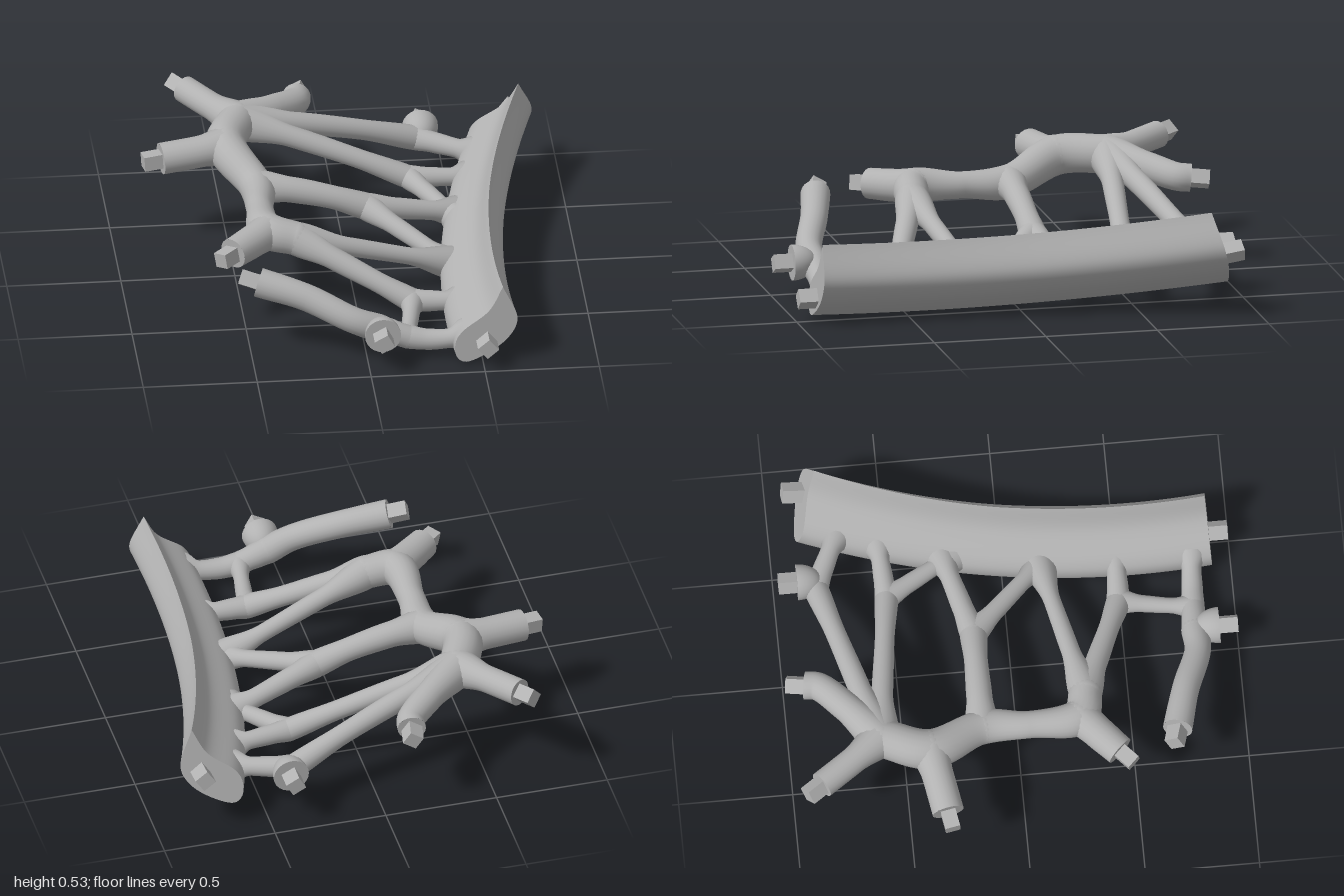
import * as THREE from 'three';

const V = (a) => new THREE.Vector3(a[0], a[1], a[2]);
const FORWARD = new THREE.Vector3(0, 0, 1);

// Sideways and upward drift of the beam along z
const driftX = (z) => 0.11 * (z - 0.6) ** 2 - 0.024;
const driftY = (z) => 0.06 * (z - 0.5) ** 2;
// Point inside the lower lip of the beam where a branch takes root
const root = (z) => [0.45 + driftX(z), 0.095 + driftY(z), z, 0.075];

export function createModel() {
  const model = new THREE.Group();
  const grey = new THREE.MeshStandardMaterial({ color: 0xb2b2b2 });
  grey.name = 'plain grey';

  const add = (name, geometry) => {
    const mesh = new THREE.Mesh(geometry, grey);
    mesh.name = name;
    model.add(mesh);
    return mesh;
  };

  // Tube through points [x, y, z, radius], the radius easing between them
  function branch(name, pts) {
    const curve = new THREE.CatmullRomCurve3(pts.map(V), false, 'centripetal');
    const seg = 12 * (pts.length - 1), sides = 20;
    const geo = new THREE.TubeGeometry(curve, seg, 1, sides);
    const pos = geo.attributes.position, p = new THREE.Vector3();
    for (let i = 0; i <= seg; i++) {
      const c = curve.getPointAt(i / seg);
      const t = curve.getUtoTmapping(i / seg) * (pts.length - 1);
      const k = Math.min(Math.floor(t), pts.length - 2);
      const r = THREE.MathUtils.lerp(pts[k][3], pts[k + 1][3], THREE.MathUtils.smoothstep(t - k, 0, 1));
      for (let j = 0; j <= sides; j++) {
        const n = i * (sides + 1) + j;
        p.fromBufferAttribute(pos, n).sub(c).multiplyScalar(r).add(c);
        pos.setXYZ(n, p.x, p.y, p.z);
      }
    }
    add(name, geo);
    return curve;
  }

  // Branch between two nodes, narrowing to a waist and bowing by lift
  function link(a, b, waist, lift = 0) {
    const along = (t) => [0, 1, 2].map((i) => a[i] + (b[i] - a[i]) * t + (i === 1 ? lift : 0));
    branch('branch', [a, [...along(0.32), waist * 1.1], [...along(0.7), waist], b]);
  }

  // Rounded knot where branches meet
  const joint = ([x, y, z, r]) => add('joint', new THREE.SphereGeometry(r, 24, 16)).position.set(x, y, z);

  // Square peg standing out of an end face
  function peg(at, dir, roll) {
    const m = add('peg', new THREE.BoxGeometry(0.066, 0.066, 0.11));
    m.quaternion.setFromUnitVectors(FORWARD, dir);
    m.rotateZ(roll);
    m.position.copy(at).addScaledVector(dir, 0.027);
  }

  // Branch whose last point is a free end with a flat face and a peg
  function arm(name, pts, roll) {
    const dir = branch(name, pts).getTangentAt(1);
    const end = pts[pts.length - 1];
    const cap = add('endFace', new THREE.CircleGeometry(end[3], 20));
    cap.position.copy(V(end));
    cap.quaternion.setFromUnitVectors(FORWARD, dir);
    peg(V(end), dir, roll);
  }

  // Half-round socket with a flat face towards +z or -z
  function socket(x, y, z, sign) {
    const r = 0.079;
    const dome = add('socket', new THREE.SphereGeometry(r, 24, 12, 0, Math.PI * 2, 0, Math.PI / 2));
    dome.scale.y = 1.4;
    dome.rotation.x = -sign * Math.PI / 2;
    dome.position.set(x, y, z);
    const cap = add('socketFace', new THREE.CircleGeometry(r, 24));
    cap.position.set(x, y, z);
    if (sign < 0) cap.rotation.y = Math.PI;
    peg(new THREE.Vector3(x, y, z), new THREE.Vector3(0, 0, sign), 0.5);
  }

  // Curved beam: one crescent section swept along z, with leaning ends
  const section = new THREE.CatmullRomCurve3([
    [0.6, 0.356], [0.663, 0.2], [0.625, 0.115], [0.52, 0.035], [0.43, 0.004],
    [0.396, 0.03], [0.392, 0.1], [0.42, 0.148], [0.54, 0.245], [0.6, 0.356],
  ].map(([x, y]) => new THREE.Vector3(x, y, 0)), false, 'centripetal').getSpacedPoints(72);
  const place = (x, y, v) => {
    const z = -0.89 + 1.81 * v;
    return [x + driftX(z), y + driftY(z), z - (z < 0 ? 0.33 : 0.05) * z * y];
  };

  const rows = 48;
  const skin = new THREE.PlaneGeometry(1, 1, 72, rows);
  for (let j = 0; j <= rows; j++) {
    section.forEach((q, i) => skin.attributes.position.setXYZ(j * 73 + i, ...place(q.x, q.y, j / rows)));
  }
  skin.computeVertexNormals();
  add('beam', skin);

  for (const v of [0, 1]) {
    const cap = new THREE.ShapeGeometry(new THREE.Shape(section.slice(0, -1).map((q) => new THREE.Vector2(q.x, q.y))));
    const pos = cap.attributes.position;
    for (let i = 0; i < pos.count; i++) pos.setXYZ(i, ...place(pos.getX(i), pos.getY(i), v));
    if (v === 0) cap.index.array.reverse();
    cap.computeVertexNormals();
    add('beamEnd', cap);
  }
  peg(new THREE.Vector3(0.515, 0.11, 0.915), FORWARD, 0.7);
  peg(new THREE.Vector3(0.795, 0.28, -0.85), new THREE.Vector3(0, 0.15, -1).normalize(), 0.6);

  // Nodes of the branching frame: x, y, z, radius
  const crown = [-0.43, 0.445, -0.61, 0.085];
  const shoulder = [-0.5, 0.435, -0.4, 0.088];
  const waist = [-0.39, 0.355, -0.16, 0.076];
  const hip = [-0.38, 0.36, 0.27, 0.08];
  const knee = [-0.26, 0.335, 0.305, 0.074];
  const backKnot = [0.37, 0.21, -0.82, 0.055];
  const upperFork = [0.31, 0.18, -0.515, 0.052];
  const midFork = [0.09, 0.235, -0.155, 0.06];
  const lowerFork = [0.23, 0.103, 0.495, 0.054];
  const frontKnot = [0.05, 0.145, 0.815, 0.062];
  const foot = [0.18, 0.095, 0.815, 0.052];
  [crown, shoulder, waist, hip, knee, backKnot, upperFork, midFork, lowerFork, frontKnot, foot].forEach(joint);

  // Trunk down the outer side
  branch('trunk', [crown, shoulder, waist, [-0.395, 0.35, 0.05, 0.06], hip, knee]);

  // Free arms with pegs
  arm('sideArm', [shoulder, [-0.62, 0.425, -0.375, 0.07], [-0.79, 0.415, -0.345, 0.07]], 0.1);
  arm('backLeftArm', [crown, [-0.53, 0.455, -0.74, 0.06], [-0.635, 0.468, -0.885, 0.06]], 0.5);
  arm('backArm', [crown, [-0.26, 0.42, -0.75, 0.065], [-0.15, 0.395, -0.86, 0.062], [-0.14, 0.39, -0.915, 0.062]], 0.1);
  arm('middleArm', [hip, [-0.46, 0.35, 0.345, 0.072], [-0.55, 0.342, 0.43, 0.068]], 0.2);
  arm('frontArm', [frontKnot, [-0.06, 0.19, 0.815, 0.058], [-0.26, 0.275, 0.745, 0.06], [-0.465, 0.332, 0.69, 0.065]], 0.2);

  // Sockets
  socket(0.06, 0.16, 0.92, 1);
  socket(0.4, 0.225, -0.9, -1);

  // Branches between the trunk, the forks and the beam
  link(crown, backKnot, 0.045, 0.015);
  link(crown, upperFork, 0.043, 0.01);
  link(waist, midFork, 0.052, 0.015);
  link(knee, lowerFork, 0.045);
  link(knee, root(0.16), 0.038);
  link(backKnot, root(-0.71), 0.042);
  link(upperFork, root(-0.53), 0.04);
  link(upperFork, root(-0.21), 0.037);
  link(midFork, root(-0.26), 0.043);
  link(midFork, root(0.18), 0.038);
  link(lowerFork, root(0.5), 0.043);
  link(lowerFork, foot, 0.034, -0.01);
  link(frontKnot, foot, 0.052);
  link(foot, root(0.83), 0.043, -0.015);

  return model;
}
